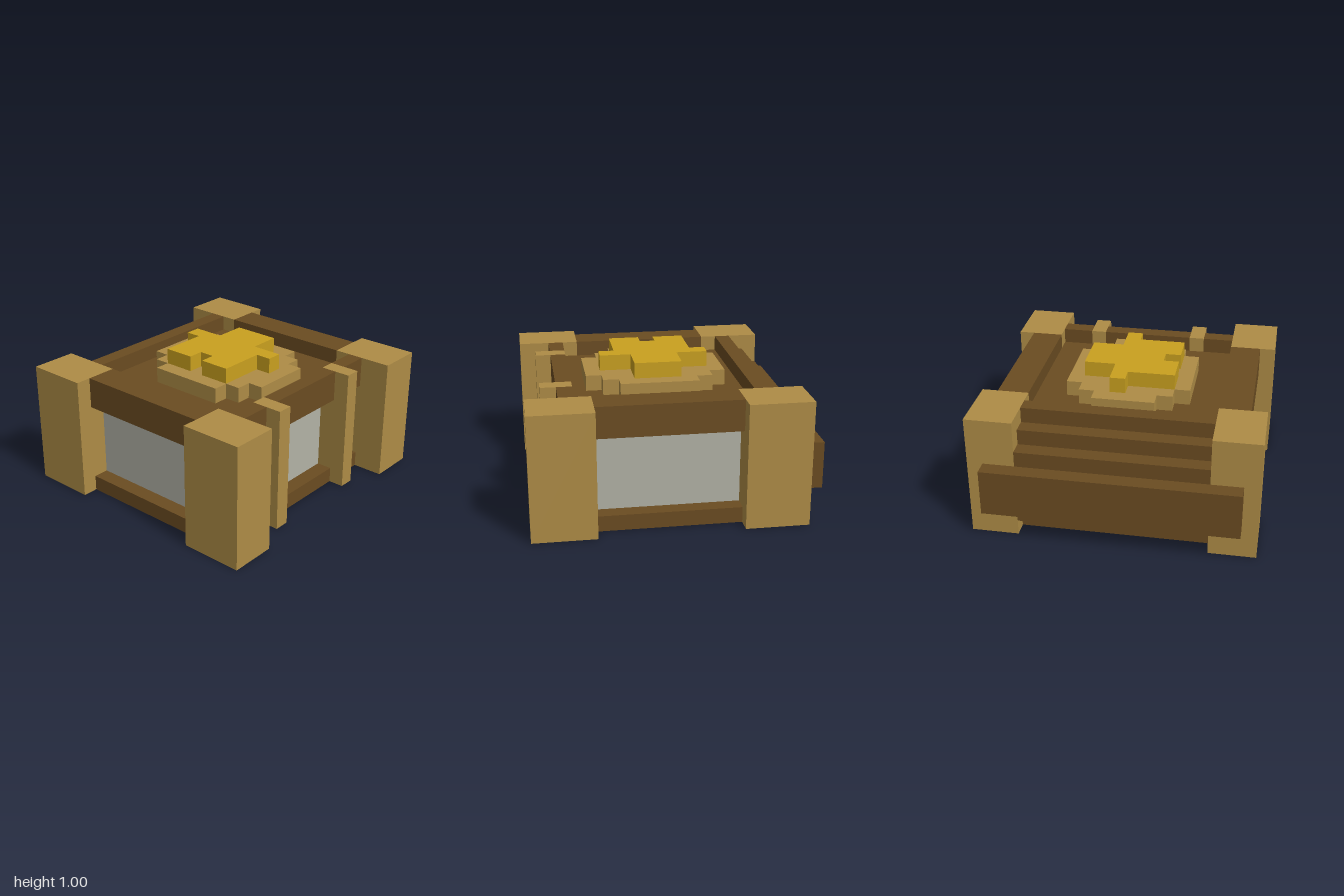
import * as THREE from 'three';

const U = 1 / 9; // one grid cell; the model is 18 x 9 x 18 cells

const mat = (name, color) => {
  const m = new THREE.MeshStandardMaterial({ color });
  m.name = name;
  return m;
};

export function createModel() {
  const leather = mat('brown leather', 0x6b4c21);
  const brass = mat('tan brass', 0xae8c46);
  const paper = mat('grey paper', 0xb2b2a6);
  const gold = mat('gold', 0xc9a01f);
  const model = new THREE.Group();
  model.name = 'book';

  // Box given by its cell ranges on each axis
  const box = (name, material, [x0, x1], [y0, y1], [z0, z1]) => {
    const mesh = new THREE.Mesh(new THREE.BoxGeometry((x1 - x0) * U, (y1 - y0) * U, (z1 - z0) * U), material);
    mesh.position.set(((x0 + x1) / 2 - 9) * U, ((y0 + y1) / 2) * U, ((z0 + z1) / 2 - 9) * U);
    mesh.name = name;
    model.add(mesh);
  };

  // Flat plate extruded upward from an outline of [x, z] cells
  const plate = (name, material, outline, y) => {
    const shape = new THREE.Shape(outline.map(([x, z]) => new THREE.Vector2((x - 9) * U, (9 - z) * U)));
    const geo = new THREE.ExtrudeGeometry(shape, { depth: U, bevelEnabled: false }).rotateX(-Math.PI / 2);
    const mesh = new THREE.Mesh(geo, material);
    mesh.position.y = y * U;
    mesh.name = name;
    model.add(mesh);
  };

  // Page block and the two covers
  box('pages', paper, [3, 15], [1, 6], [2, 16]);
  box('bottomCover', leather, [3, 15], [0, 1], [3, 15]);
  box('topCover', leather, [4, 15], [6, 7], [3, 15]);

  // Front and back cover edges between the corner posts
  for (const z of [[1, 3], [15, 17]]) {
    box('bottomEdge', leather, [5, 14], [0, 1], z);
    box('topRim', leather, [5, 14], [6, 8], z);
  }

  // Opening side: cover edges broken by the clasps
  for (const z of [[3, 5], [6, 12], [13, 15]]) {
    box('sideBottomEdge', leather, [15, 16], [0, 1], z);
    box('sideTopRim', leather, [15, 16], [6, 8], z);
  }
  for (const z of [[5, 6], [12, 13]]) box('clasp', brass, [15, 17], [0, 8], z);

  // Stepped spine
  box('spineRim', leather, [3, 4], [6, 8], [3, 15]);
  box('spineInner', leather, [2, 3], [0, 7], [3, 15]);
  box('spineMiddle', leather, [1, 2], [1, 6], [3, 15]);
  box('spineOuter', leather, [0, 1], [2, 5], [1, 17]);

  // Corner posts
  for (const x of [[1, 5], [14, 18]])
    for (const z of [[0, 3], [15, 18]]) box('cornerPost', brass, x, [0, 8], z);

  // Stepped round medallion: one half, mirrored across its centre x = 9.5
  const mirror = (half) => [...half, ...half.map(([x, z]) => [19 - x, z]).reverse()];
  plate('medallion', brass, mirror([
    [7, 5], [7, 6], [6, 6], [6, 7], [5, 7], [5, 11], [6, 11], [6, 12], [7, 12], [7, 13],
  ]), 7);

  // Raised emblem with arms and a notch at the foot
  plate('emblem', gold, mirror([
    [8, 6], [8, 8], [6, 8], [6, 9], [7, 9], [7, 12], [9, 12], [9, 11],
  ]), 8);

  return model;
}
